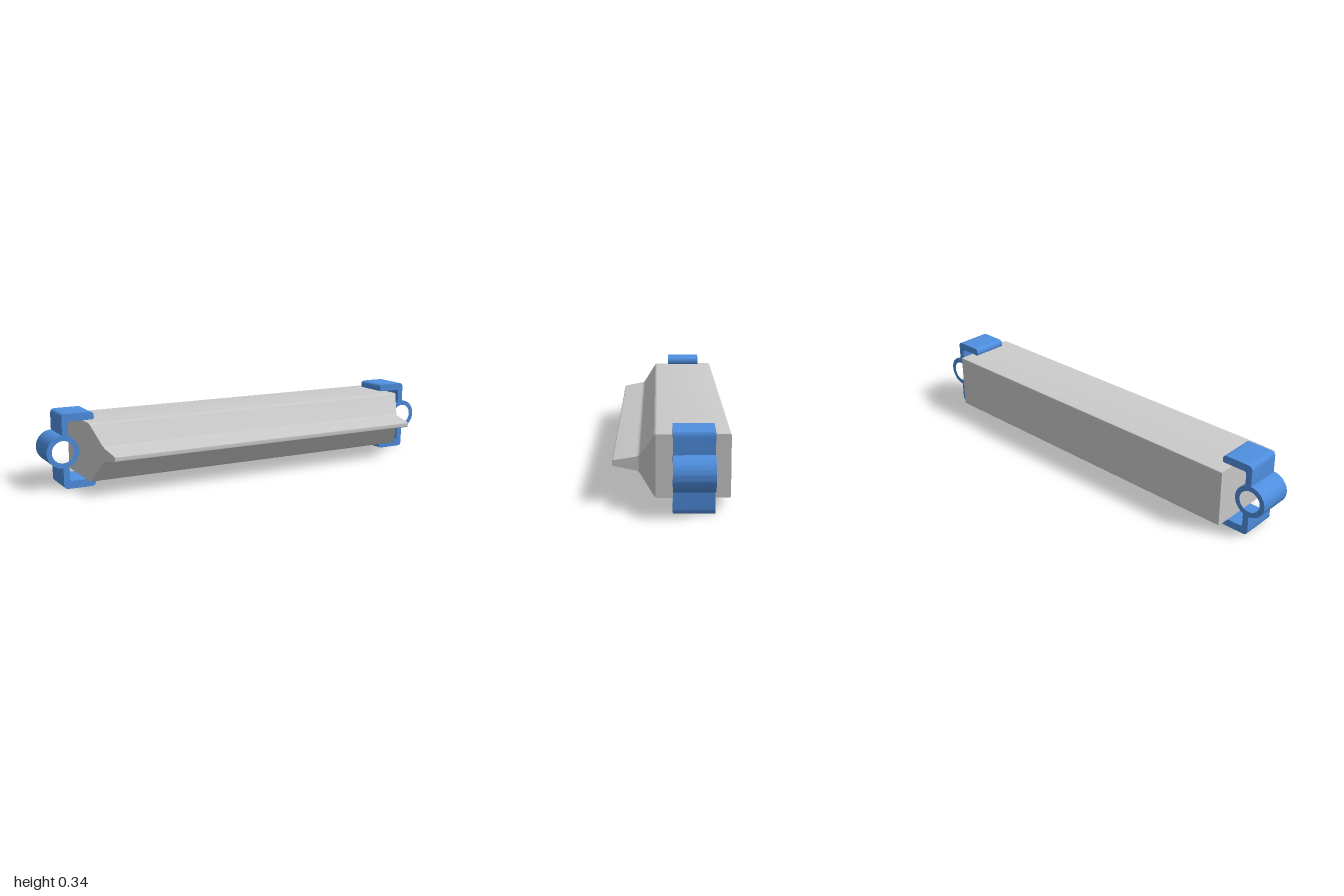
import * as THREE from 'three';
import { toCreasedNormals } from 'three/addons/utils/BufferGeometryUtils.js';

const MID = 0.1685; // height of the symmetry plane

// Round the corners of a polyline of [x, y, radius]; a missing radius keeps the corner sharp
function rounded(pts, closed) {
  const out = [], n = pts.length;
  pts.forEach(([x, y, r], i) => {
    const p = new THREE.Vector2(x, y);
    if (!r || (!closed && (i === 0 || i === n - 1))) return out.push(p);
    const a = new THREE.Vector2(...pts[(i + n - 1) % n].slice(0, 2)).sub(p).setLength(r).add(p);
    const b = new THREE.Vector2(...pts[(i + 1) % n].slice(0, 2)).sub(p).setLength(r).add(p);
    out.push(...new THREE.QuadraticBezierCurve(a, p, b).getPoints(6));
  });
  return out;
}

// Half width of the body at depth z
function halfWidth(z) {
  const keys = [[-0.24, 0.828], [0.065, 0.828], [0.132, 0.788], [0.24, 0.778]];
  const i = z < keys[1][0] ? 0 : z < keys[2][0] ? 1 : 2;
  const [z0, w0] = keys[i], [z1, w1] = keys[i + 1];
  return w0 + (w1 - w0) * (z - z0) / (z1 - z0);
}

// Long body narrowing to a blade: rectangular sections lofted along z
function bodyGeometry() {
  const profile = rounded([ // depth, half height
    [-0.238, 0.1], [-0.238, 0.131, 0.006], [0.065, 0.131, 0.01],
    [0.131, 0.031, 0.012], [0.238, 0.0115, 0.006], [0.238, 0.004],
  ]);
  const pos = [], idx = [];
  for (const { x: z, y: h } of profile) {
    const w = halfWidth(z);
    pos.push(-w, MID - h, z, w, MID - h, z, w, MID + h, z, -w, MID + h, z);
  }
  const quad = (a, b, c, d) => idx.push(a, b, c, a, c, d);
  for (let s = 0; s < profile.length - 1; s++) {
    for (let k = 0; k < 4; k++) {
      const a = s * 4 + k, b = s * 4 + (k + 1) % 4;
      quad(a, b, b + 4, a + 4);
    }
  }
  const e = (profile.length - 1) * 4;
  quad(3, 2, 1, 0);
  quad(e, e + 1, e + 2, e + 3);
  const g = new THREE.BufferGeometry();
  g.setAttribute('position', new THREE.Float32BufferAttribute(pos, 3));
  g.setIndex(idx);
  return toCreasedNormals(g, 0.25);
}

// C-shaped clip with a ring on its upright, extruded along z
function clipGeometry() {
  const cx = 0.927, R = 0.073, inner = 0.9, outer = 0.928, depth = 0.166;
  const a1 = Math.acos((inner - cx) / R), a2 = Math.acos((outer - cx) / R);
  const arc = (from, to, n) => Array.from({ length: n + 1 }, (_, i) => {
    const a = from + (to - from) * i / n;
    return [cx + R * Math.cos(a), R * Math.sin(a)];
  });
  const arm = [
    [inner, 0.134, 0.012], [0.781, 0.134, 0.01], [0.781, 0.1685, 0.02], [outer, 0.1685, 0.022],
  ];
  const lowerArm = arm.map(([x, y, r]) => [x, -y, r]).reverse();
  const outline = [
    ...arm,
    ...arc(a2, -a2, 32),
    ...lowerArm,
    ...arc(2 * Math.PI - a1, a1, 24),
  ];
  const shape = new THREE.Shape(rounded(outline, true));
  shape.holes.push(new THREE.Path().absarc(cx, 0, 0.05, 0, Math.PI * 2, true));
  const g = new THREE.ExtrudeGeometry(shape, { depth, bevelEnabled: false, curveSegments: 24 });
  g.translate(0, 0, -depth / 2);
  return toCreasedNormals(g, 0.6);
}

export function createModel() {
  const group = new THREE.Group();
  const grey = new THREE.MeshStandardMaterial({ color: 0xcccccc });
  const blue = new THREE.MeshStandardMaterial({ color: 0x4f8fe0 });

  const body = new THREE.Mesh(bodyGeometry(), grey);
  body.name = 'bladedBody';
  group.add(body);

  // One clip on each end
  const clip = clipGeometry();
  for (const [name, turn] of [['leftClip', 0], ['rightClip', Math.PI]]) {
    const mesh = new THREE.Mesh(clip, blue);
    mesh.name = name;
    mesh.position.set(0, MID, -0.087);
    mesh.rotation.y = turn;
    group.add(mesh);
  }
  return group;
}
